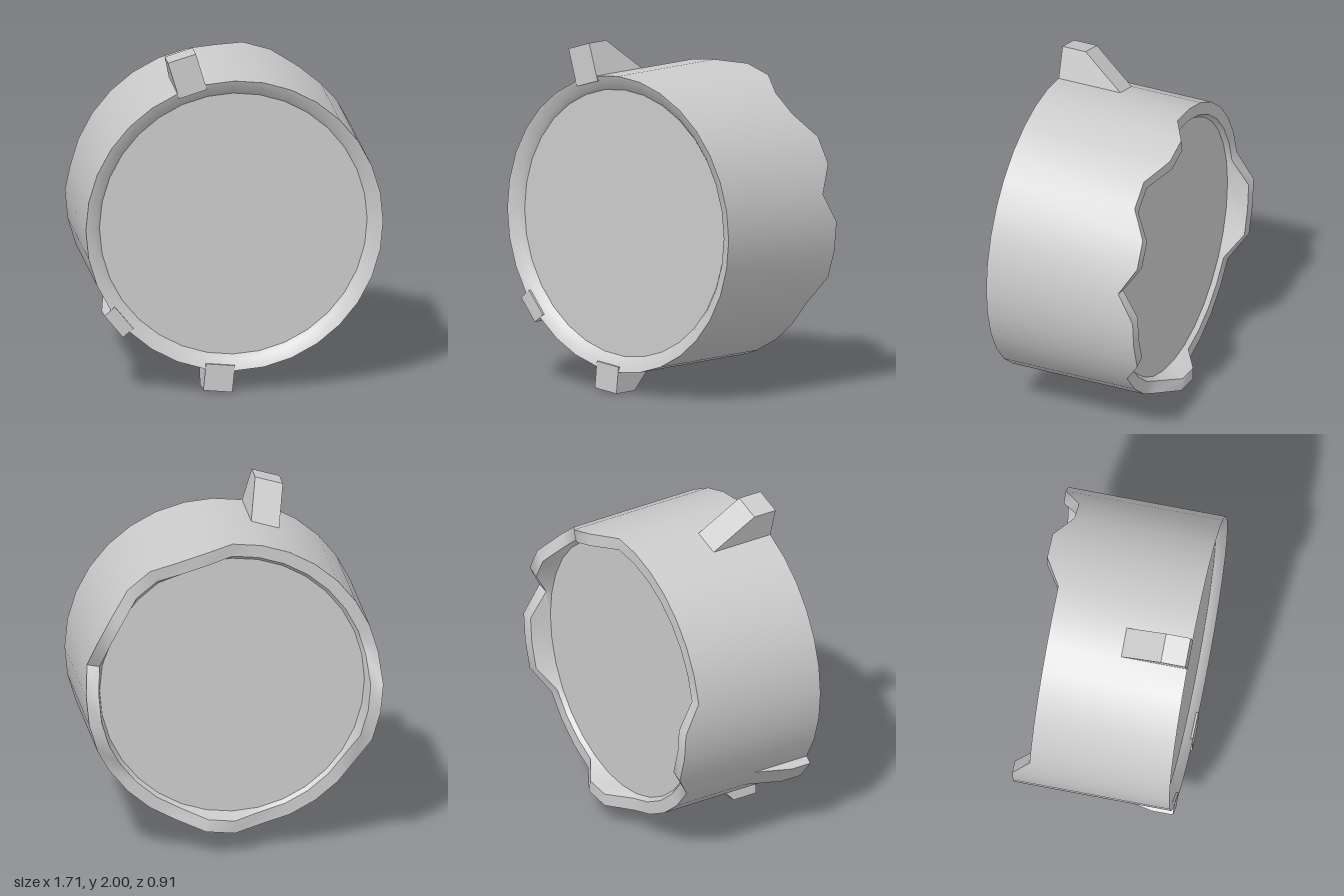
import * as THREE from 'three';
import { toCreasedNormals } from 'three/addons/utils/BufferGeometryUtils.js';

const SIDES = 32, STEP = (Math.PI * 2) / SIDES;
const RADIUS = 0.853, CENTER_Y = 0.98, FRONT = 0.453;

// Segments of the back rim that stand up as teeth
const TEETH = new Set([1, 2, 5, 6, 8, 9, 10, 15, 16, 22, 23, 24]);
const rimZ = (k) => (TEETH.has(k % SIDES) ? -0.457 : -0.36);

// Skin consecutive rings; each ring is [radius, z], z may depend on the segment
function ringGeometry(rings) {
  const pos = [], index = [];
  for (const [r, z] of rings) {
    for (let k = 0; k < SIDES; k++) {
      const a = k * STEP;
      pos.push(r * Math.sin(a), r * Math.cos(a), typeof z === 'function' ? z(k) : z);
    }
  }
  for (let i = 0; i < rings.length - 1; i++) {
    for (let k = 0; k < SIDES; k++) {
      const n = (k + 1) % SIDES;
      const a = i * SIDES + k, b = i * SIDES + n;
      const c = a + SIDES, d = b + SIDES;
      if (rings[i + 1][0] > 0) index.push(a, d, c);
      if (rings[i][0] > 0) index.push(a, b, d);
    }
  }
  const geo = new THREE.BufferGeometry();
  geo.setAttribute('position', new THREE.Float32BufferAttribute(pos, 3));
  geo.setIndex(index);
  return toCreasedNormals(geo, THREE.MathUtils.degToRad(40));
}

// Wedge-shaped lug standing on one side facet of the drum
function lugGeometry(outer, tipBack, baseBack) {
  const inner = RADIUS * Math.cos(STEP / 2);
  const width = 2 * RADIUS * Math.sin(STEP / 2);
  const shape = new THREE.Shape();
  shape.moveTo(baseBack, inner);
  shape.lineTo(baseBack, inner - 0.03);
  shape.lineTo(FRONT, inner - 0.03);
  shape.lineTo(FRONT, outer);
  shape.lineTo(tipBack, outer);
  shape.closePath();
  const geo = new THREE.ExtrudeGeometry(shape, { depth: width, bevelEnabled: false });
  return geo.translate(0, 0, -width / 2);
}

export function createModel() {
  const group = new THREE.Group();
  const material = new THREE.MeshStandardMaterial({ color: 0xcccccc });

  // Drum: recessed front disc, dished front rim, wall, toothed back rim, back disc
  const drum = new THREE.Mesh(ringGeometry([
    [0, 0.4],
    [0.768, 0.4],
    [0.79, 0.425],
    [RADIUS, FRONT],
    [RADIUS, rimZ],
    [0.78, rimZ],
    [0.76, -0.335],
    [0, -0.335],
  ]), material);
  drum.name = 'drum';
  drum.position.y = CENTER_Y;
  group.add(drum);

  // Lugs around the front edge: facet, outer radius, back of tip, back of base
  const lugs = [
    ['topLug', 30.5, 1.04, 0.31, 0.07],
    ['bottomLug', 16.5, 0.975, 0.3, 0.19],
    ['sideLug', 20.5, 0.897, 0.33, 0.1],
  ];
  for (const [name, facet, outer, tipBack, baseBack] of lugs) {
    const a = facet * STEP;
    const lug = new THREE.Mesh(lugGeometry(outer, tipBack, baseBack), material);
    lug.name = name;
    lug.geometry.applyMatrix4(new THREE.Matrix4().makeBasis(
      new THREE.Vector3(0, 0, 1),
      new THREE.Vector3(Math.sin(a), Math.cos(a), 0),
      new THREE.Vector3(-Math.cos(a), Math.sin(a), 0),
    ));
    lug.position.y = CENTER_Y;
    group.add(lug);
  }
  return group;
}
